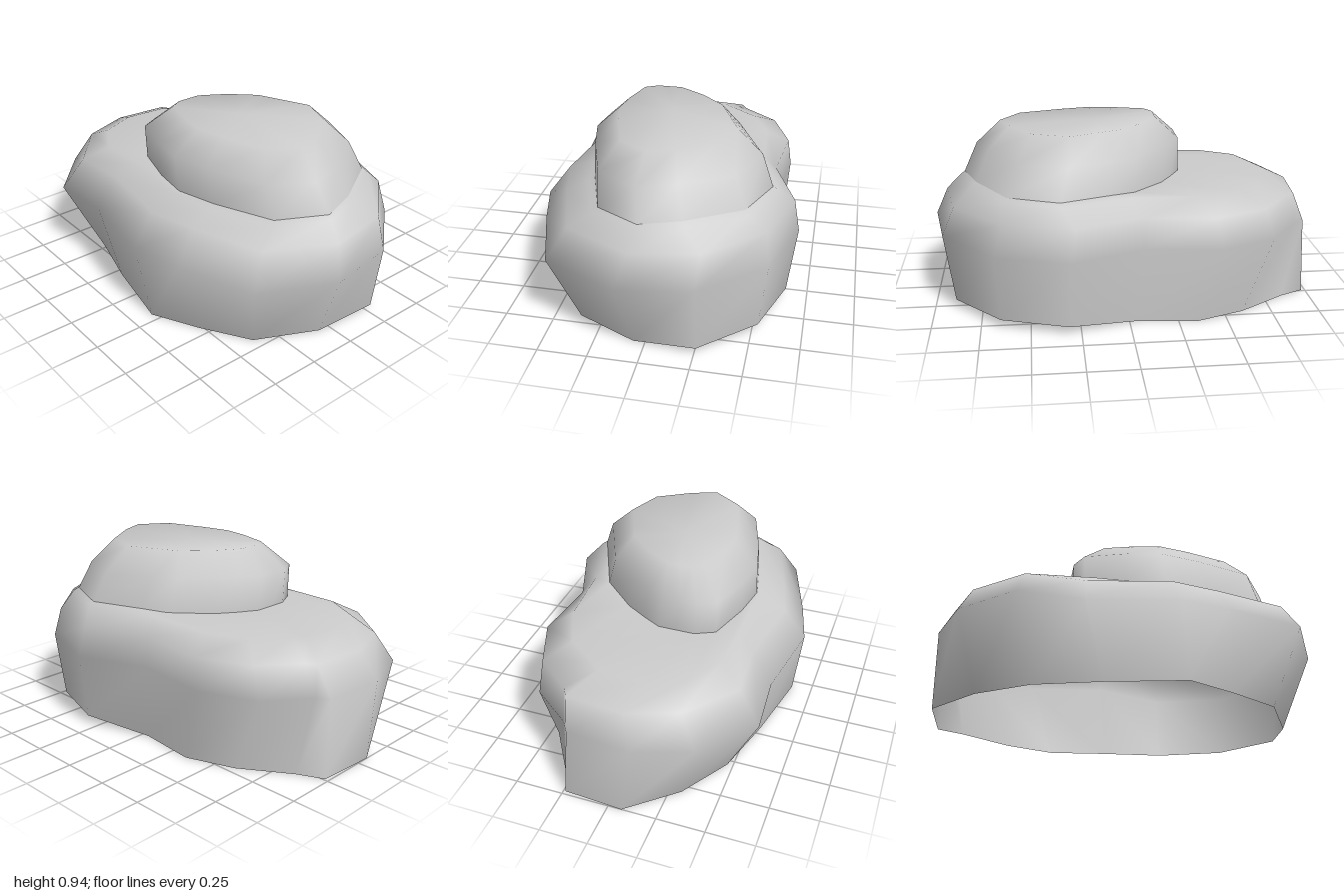
import * as THREE from 'three';

const clamp01 = (t) => Math.min(1, Math.max(0, t));

// Fits a ring of [x, z] points to a plan box at height y
function fitRing(points, y, x0, x1, z0, z1) {
  const xs = points.map((p) => p[0]), zs = points.map((p) => p[1]);
  const fit = (v, list, lo, hi) => {
    const a = Math.min(...list), b = Math.max(...list);
    return lo + ((v - a) / (b - a)) * (hi - lo);
  };
  return points.map(([x, z]) => [fit(x, xs, x0, x1), y, fit(z, zs, z0, z1)]);
}

// Skins rings of [x, y, z] points, stacked upwards; a capped tier is closed by a fan at the top
function rockTier(name, rings, capped) {
  const n = rings[0].length;
  const positions = rings.flat(2), index = [];
  for (let r = 0; r < rings.length - 1; r++) {
    for (let i = 0; i < n; i++) {
      const a = r * n + i, b = r * n + (i + 1) % n;
      index.push(a, a + n, b, b, a + n, b + n);
    }
  }
  if (capped) {
    const start = (rings.length - 1) * n, top = rings[rings.length - 1];
    positions.push(...[0, 1, 2].map((k) => top.reduce((sum, p) => sum + p[k], 0) / n));
    for (let i = 0; i < n; i++) index.push(start + n, start + (i + 1) % n, start + i);
  }
  const geometry = new THREE.BufferGeometry();
  geometry.setAttribute('position', new THREE.Float32BufferAttribute(positions, 3));
  geometry.setIndex(index);
  geometry.computeVertexNormals();
  const material = new THREE.MeshStandardMaterial({ color: 0xcccccc, side: THREE.DoubleSide });
  const mesh = new THREE.Mesh(geometry, material);
  mesh.name = name;
  return mesh;
}

export function createModel() {
  const group = new THREE.Group();
  group.name = 'rock';

  // Rings run from the back, round by the left (+x) side to the front and back again
  const base = [
    [-0.07, -1], [0.24, -0.98], [0.3, -0.85], [0.46, -0.6], [0.55, -0.35], [0.52, -0.04],
    [0.64, 0.31], [0.53, 0.65], [0.26, 0.89], [-0.06, 0.84], [-0.37, 0.69], [-0.52, 0.44],
    [-0.64, 0.2], [-0.56, -0.2], [-0.47, -0.53], [-0.31, -0.79],
  ];
  const widest = [
    [-0.12, -1], [0.21, -0.97], [0.25, -0.91], [0.46, -0.75], [0.58, -0.46], [0.54, -0.07],
    [0.685, 0.3], [0.57, 0.67], [0.26, 0.94], [-0.11, 1], [-0.49, 0.82], [-0.62, 0.42],
    [-0.69, 0.15], [-0.62, -0.3], [-0.645, -0.63], [-0.41, -0.9],
  ];
  // Rim of the shelf, wide behind the upper stone and close to it elsewhere
  const shelf = [
    [-0.1, -0.77], [0.13, -0.75], [0.18, -0.7], [0.34, -0.58], [0.44, -0.36], [0.46, -0.02],
    [0.57, 0.34], [0.46, 0.62], [0.18, 0.78], [-0.03, 0.85], [-0.28, 0.71], [-0.39, 0.38],
    [-0.43, 0.15], [-0.42, -0.22], [-0.41, -0.5], [-0.3, -0.69],
  ];
  const foot = [
    [-0.12, -0.32], [-0.02, -0.32], [0.08, -0.265], [0.19, -0.2], [0.37, -0.04], [0.43, 0.09],
    [0.545, 0.34], [0.44, 0.6], [0.17, 0.76], [-0.03, 0.83], [-0.255, 0.69], [-0.36, 0.37],
    [-0.41, 0.15], [-0.38, -0.04], [-0.31, -0.27], [-0.21, -0.32],
  ];

  // The base is raised at its front left corner; the shelf slopes up towards the same side
  const baseY = (x, z) => 0.045 * clamp01((0.7 * x + 0.3 * z - 0.36) / 0.1);
  const footY = (x, z) => 0.63 + 0.03 * clamp01((x + z + 0.1) / 0.9);
  const shelfY = (x, z) => footY(x, z) - 0.015 * clamp01((z + 0.1) / 0.3);
  const raise = (points, height) => points.map(([x, z]) => [x, height(x, z), z]);
  const footRing = raise(foot, footY);

  // Broad lower boulder, open underneath
  group.add(rockTier('lowerRock', [
    raise(base, baseY),
    raise(widest, () => 0.4),
    fitRing(widest, 0.56, -0.57, 0.655, -0.93, 0.93),
    raise(shelf, shelfY),
    footRing,
  ], false));

  // Upper stone with a flat top, hollow like the boulder it grows from
  group.add(rockTier('upperRock', [
    footRing,
    fitRing(foot, 0.81, -0.41, 0.485, -0.32, 0.76),
    fitRing(foot, 0.935, -0.28, 0.35, -0.19, 0.63),
  ], true));

  return group;
}
